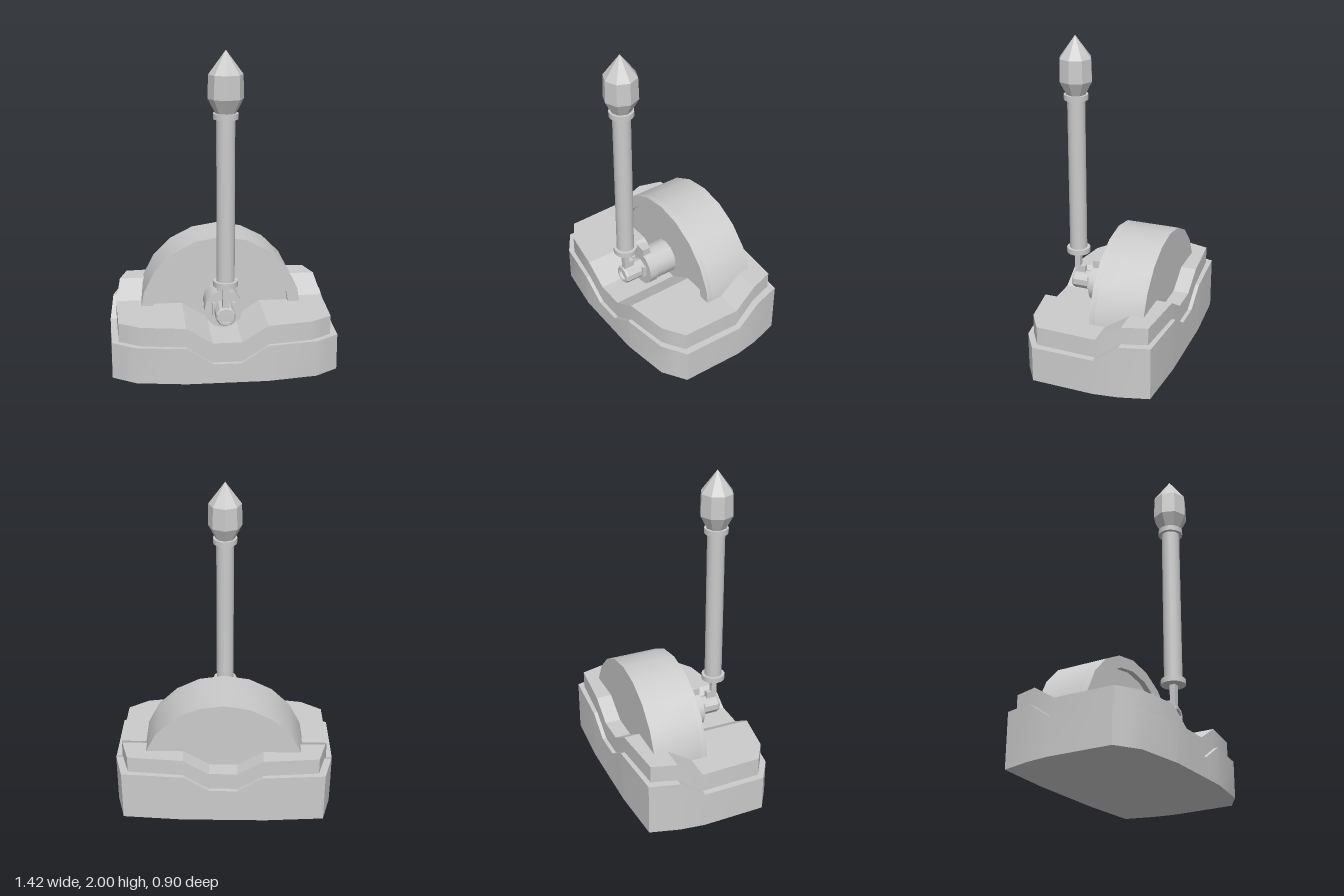
import * as THREE from 'three';
import { toCreasedNormals } from 'three/addons/utils/BufferGeometryUtils.js';

const smooth = new THREE.MeshStandardMaterial({ color: 0xcccccc });
const faceted = new THREE.MeshStandardMaterial({ color: 0xcccccc, flatShading: true });

const clamp01 = (t) => Math.min(1, Math.max(0, t));
// Linear interpolation along a list of [x, value] pairs.
function along(pairs, x) {
  for (let i = 1; i < pairs.length; i++) {
    const [x0, v0] = pairs[i - 1], [x1, v1] = pairs[i];
    if (x <= x1 + 1e-6) return v0 + (v1 - v0) * clamp01((x - x0) / (x1 - x0));
  }
  return pairs[pairs.length - 1][1];
}

// Block with a mirrored plan (back and front edges as [x, z]) whose top dips in the
// middle and ramps up towards the back.
function slab(back, front, base, rise, dip) {
  const half = [...new Set([0, 0.09, 0.25, ...back.map((p) => p[0]), ...front.map((p) => p[0])])].sort((a, b) => a - b);
  const xs = [...half.slice(1).reverse().map((x) => -x), ...half];
  const top = (x, z) =>
    base + rise * clamp01((-0.09 - z) / 0.155) - dip * clamp01((0.25 - Math.abs(x)) / 0.16);
  const columns = xs.map((x) => {
    const zb = along(back, Math.abs(x)), zf = along(front, Math.abs(x));
    return [zb, -0.245, -0.09, zf].map((z) => {
      const zc = Math.min(zf, Math.max(zb, z));
      return new THREE.Vector3(x, top(x, zc), zc);
    });
  });
  const pos = [];
  const tri = (a, b, c) => {
    const area = b.clone().sub(a).cross(c.clone().sub(a)).length();
    if (area > 1e-9) pos.push(...a.toArray(), ...b.toArray(), ...c.toArray());
  };
  const quad = (a, b, c, d) => { tri(a, b, c); tri(a, c, d); };
  const floor = (p) => new THREE.Vector3(p.x, 0, p.z);
  for (let i = 0; i < columns.length - 1; i++) {
    const l = columns[i], r = columns[i + 1];
    for (let j = 0; j < 3; j++) quad(l[j], l[j + 1], r[j + 1], r[j]);
    quad(floor(l[3]), floor(r[3]), r[3], l[3]);
    quad(floor(r[0]), floor(l[0]), l[0], r[0]);
    quad(floor(l[0]), floor(r[0]), floor(r[3]), floor(l[3]));
  }
  const geo = new THREE.BufferGeometry();
  geo.setAttribute('position', new THREE.Float32BufferAttribute(pos, 3));
  return toCreasedNormals(geo, 0.5);
}

// Points of the wheel's visible arc, 18 degrees apart, from right to left.
function arc(radius) {
  const points = [];
  for (let i = -6; i <= 6; i++) {
    const a = (i * Math.PI) / 10;
    points.push(new THREE.Vector2(-Math.sin(a) * radius, 0.275 + Math.cos(a) * radius));
  }
  return points;
}

function extrude(points, z0, z1) {
  const geo = new THREE.ExtrudeGeometry(new THREE.Shape(points), { depth: z1 - z0, bevelEnabled: false });
  return toCreasedNormals(geo.translate(0, 0, z0), 0.5);
}

export function createModel() {
  const model = new THREE.Group();
  const add = (name, geo, mat = smooth, parent = model) => {
    const mesh = new THREE.Mesh(geo, mat);
    mesh.name = name;
    parent.add(mesh);
    return mesh;
  };
  const box = (name, w, h, d, x, y, z, parent) =>
    add(name, new THREE.BoxGeometry(w, h, d).translate(x, y, z), smooth, parent);
  // Cylinder lying along z.
  const barrel = (name, r, z0, z1, sides) => {
    const geo = new THREE.CylinderGeometry(r, r, z1 - z0, sides);
    geo.rotateX(Math.PI / 2).translate(0, 0.375, (z0 + z1) / 2);
    return add(name, geo, sides > 8 ? smooth : faceted);
  };

  // Base: wide lower plinth and an inset upper deck
  add('plinth', slab(
    [[0, -0.455], [0.27, -0.455], [0.64, -0.43], [0.69, -0.245], [0.71, -0.09]],
    [[0, 0.45], [0.25, 0.45], [0.555, 0.405], [0.7, 0.31], [0.71, -0.09]], 0.23, 0.11, 0.105));
  add('deck', slab(
    [[0, -0.43], [0.25, -0.43], [0.6, -0.4], [0.645, -0.245], [0.67, -0.09]],
    [[0, 0.425], [0.25, 0.425], [0.525, 0.38], [0.657, 0.295], [0.67, -0.09]], 0.35, 0.1, 0.1));

  // Half-sunk wheel with a raised rim on its front
  const wheel = new THREE.Group();
  wheel.name = 'wheel';
  model.add(wheel);
  add('drum', extrude(arc(0.52), -0.33, -0.02), smooth, wheel);
  add('rim', extrude([...arc(0.52), ...arc(0.445).reverse()], -0.02, 0.015), smooth, wheel);

  // Hub, collar and pivot pin
  barrel('hub', 0.115, -0.03, 0.13, 12);
  barrel('hubCollar', 0.122, 0.125, 0.183, 12);
  box('collarTab', 0.07, 0.07, 0.055, 0, 0.5, 0.155);
  const ring = [[0, 0.17], [0.062, 0.17], [0.062, 0.31], [0.054, 0.325], [0.04, 0.325], [0.04, 0.305], [0, 0.305]];
  add('pivotPin', new THREE.LatheGeometry(ring.map(([r, z]) => new THREE.Vector2(r, z)), 10)
    .rotateX(Math.PI / 2).translate(0, 0.375, 0), faceted);
  for (const side of [-1, 1]) box('pinCheek', 0.016, 0.08, 0.03, side * 0.062, 0.385, 0.195);

  // Lever: neck, shaft, end collars and faceted knob
  const lever = new THREE.Group();
  lever.name = 'lever';
  lever.position.z = 0.295;
  model.add(lever);
  box('leverNeck', 0.036, 0.17, 0.036, 0, 0.5, 0.002, lever);
  box('leverFoot', 0.036, 0.06, 0.06, 0, 0.445, -0.02, lever);
  add('shaft', new THREE.CylinderGeometry(0.056, 0.056, 1.04, 16).translate(0, 1.105, 0), smooth, lever);
  for (const y of [0.589, 1.617])
    add('shaftCollar', new THREE.CylinderGeometry(0.076, 0.076, 0.034, 16).translate(0, y, 0), smooth, lever);
  const knob = [[0, 1.63], [0.06, 1.63], [0.107, 1.72], [0.103, 1.86], [0, 2]];
  add('knob', new THREE.LatheGeometry(knob.map(([r, y]) => new THREE.Vector2(r, y)), 8), faceted, lever);

  return model;
}
